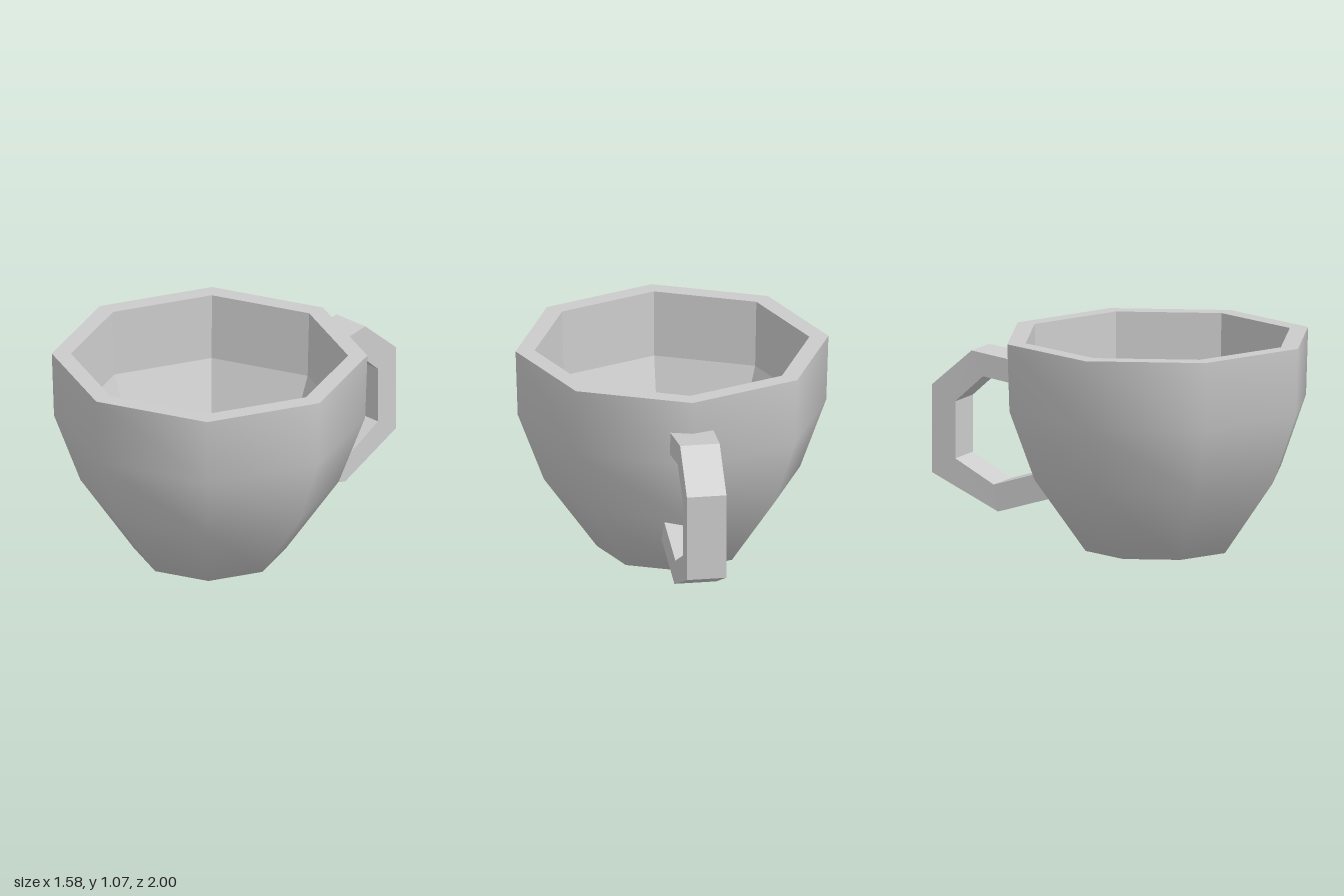
import * as THREE from 'three';

const SIDES = 8;
const toPoints = list => list.map(([x, y]) => new THREE.Vector2(x, y));

export function createModel() {
  const group = new THREE.Group();
  group.name = 'cup';
  const smooth = new THREE.MeshStandardMaterial({ color: 0xcccccc });
  const flat = new THREE.MeshStandardMaterial({ color: 0xcccccc, flatShading: true });

  const add = (name, geometry, material, parent) => {
    const mesh = new THREE.Mesh(geometry, material);
    mesh.name = name;
    parent.add(mesh);
  };

  // Eight-sided bowl, set forward of the handle and turned very slightly
  const bowl = new THREE.Group();
  bowl.name = 'bowl';
  bowl.position.z = 0.213;
  bowl.rotation.y = -0.025;
  group.add(bowl);

  // Smooth outside with its underside
  const outside = [[0, 0], [0.378, 0], [0.645, 0.375], [0.777, 0.73], [0.788, 1.072]];
  add('outerWall', new THREE.LatheGeometry(toPoints(outside), SIDES), smooth, bowl);

  // Faceted rim, inner wall and floor
  const inside = [[0.788, 1.072], [0.692, 1.072], [0.682, 0.73], [0.555, 0.39], [0.312, 0.08], [0, 0.08]];
  add('rimAndInnerWall', new THREE.LatheGeometry(toPoints(inside), SIDES), flat, bowl);

  // Angular handle: side outline as (distance back, height)
  const outline = [
    [0.5, 0.775], [0.715, 0.805], [0.87, 0.665], [0.87, 0.375], [0.655, 0.26], [0.365, 0.35],
    [0.29, 0.23], [0.63, 0.125], [1, 0.295], [1, 0.74], [0.78, 0.93], [0.5, 0.895],
  ];
  const width = 0.2;
  const handle = new THREE.ExtrudeGeometry(new THREE.Shape(toPoints(outline)), { depth: width, bevelEnabled: false });
  handle.translate(0, 0, -width / 2);
  handle.rotateY(Math.PI / 2);

  // Widen the handle a little where it meets the bowl
  const pos = handle.attributes.position;
  for (let i = 0; i < pos.count; i++) {
    const flare = Math.max(0, pos.getZ(i) + 0.78) * 0.35;
    pos.setX(i, pos.getX(i) * (1 + flare) + 0.015);
  }
  add('handle', handle, flat, group);

  return group;
}
